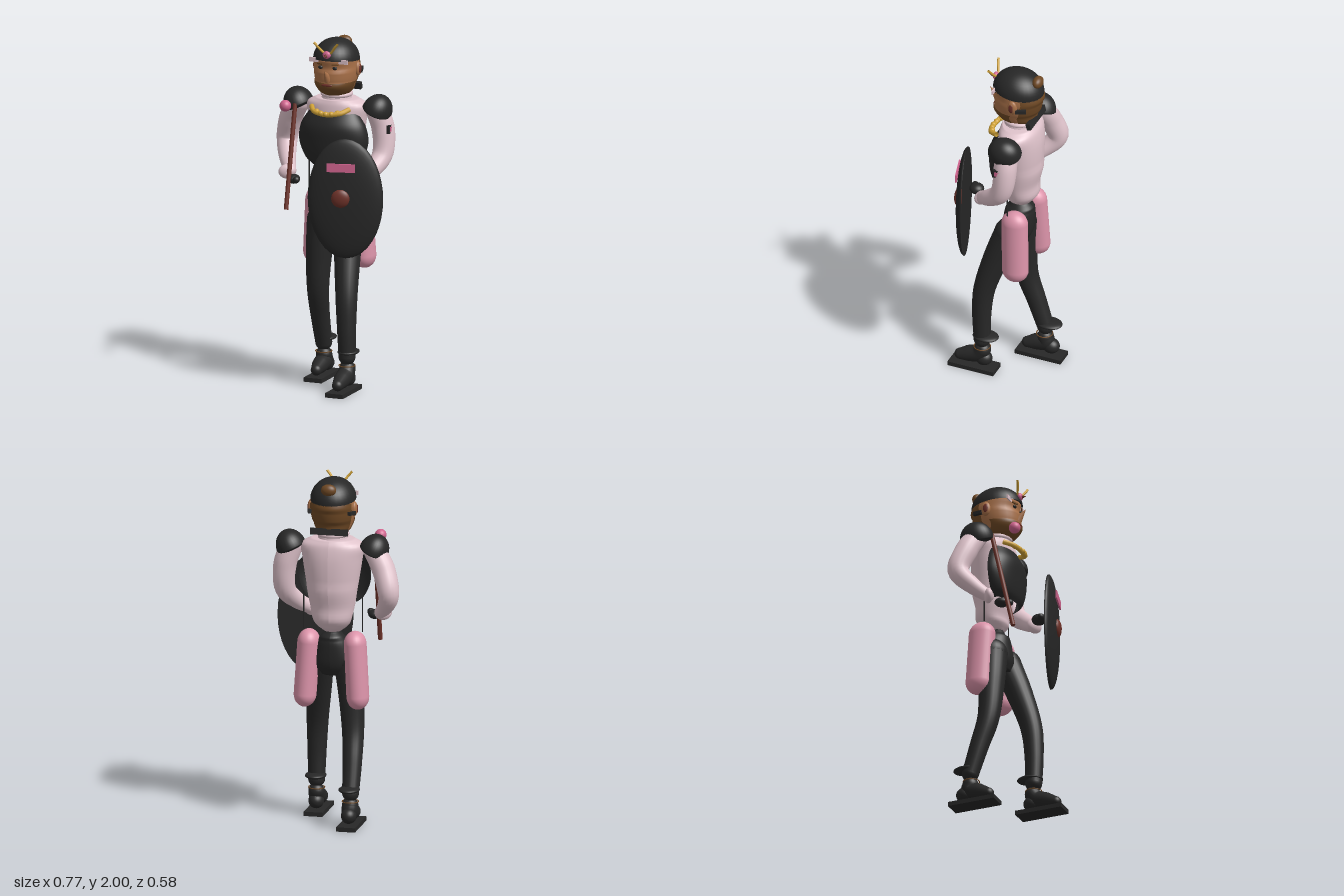
import * as THREE from 'three';

const mat = (name, color, side = THREE.DoubleSide) => {
  const m = new THREE.MeshStandardMaterial({ color, side });
  m.name = name;
  return m;
};
const CX = 0.015; // body centre line

// Skin through elliptical rows [y, rx, rz, cz]; angle 0 faces the front.
function loft(rows, a0 = -Math.PI, a1 = Math.PI, seg = 32) {
  const pos = [], idx = [], w = seg + 1;
  const full = [[rows[0][0], 0, 0, rows[0][3]], ...rows, [rows.at(-1)[0], 0, 0, rows.at(-1)[3]]];
  const use = a1 - a0 > 6 ? full : rows;
  use.forEach(([y, rx, rz, cz], i) => {
    for (let j = 0; j <= seg; j++) {
      const a = a0 + (a1 - a0) * j / seg;
      pos.push(CX + rx * Math.sin(a), y, cz + rz * Math.cos(a));
      if (i && j) {
        const d = i * w + j, c = d - 1, b = d - w, e = b - 1;
        idx.push(e, b, d, e, d, c);
      }
    }
  });
  const g = new THREE.BufferGeometry();
  g.setAttribute('position', new THREE.Float32BufferAttribute(pos, 3));
  g.setIndex(idx);
  g.computeVertexNormals();
  return g;
}

// Smooth rows between a few given ones.
function smooth(rows, n = 24) {
  const c = new THREE.CatmullRomCurve3(rows.map(r => new THREE.Vector3(r[0], r[1], r[2])));
  const d = new THREE.CatmullRomCurve3(rows.map(r => new THREE.Vector3(r[3], 0, 0)));
  return Array.from({ length: n + 1 }, (_, i) => [...c.getPoint(i / n).toArray(), d.getPoint(i / n).x]);
}

export function createModel() {
  const black = mat('charcoal', 0x272727), shirt = mat('pale pink cloth', 0xdfc3cb);
  const pink = mat('pouch pink', 0xdc94aa), rose = mat('rose', 0xd0648e);
  const wood = mat('red brown', 0x6e3229), gold = mat('gold', 0xd0a238);
  const skin = mat('skin', 0xa87048), hair = mat('hair brown', 0x6e4824);
  const root = new THREE.Group();
  const add = (name, geo, m, p = [0, 0, 0], r = [0, 0, 0], s = [1, 1, 1], parent = root) => {
    const o = new THREE.Mesh(geo, m);
    o.name = name;
    o.position.set(...p);
    o.rotation.set(...r);
    o.scale.set(...s);
    parent.add(o);
    return o;
  };
  const ball = new THREE.SphereGeometry(1, 28, 18);
  const dome = new THREE.SphereGeometry(1, 32, 12, 0, Math.PI * 2, 0, Math.PI / 2);
  const blob = (name, m, p, s, r) => add(name, ball, m, p, r, s);
  const box = (name, m, p, s, r) => add(name, new THREE.BoxGeometry(...s), m, p, r);
  const tube = (name, m, pts, r) => add(name, new THREE.TubeGeometry(
    new THREE.CatmullRomCurve3(pts.map(p => new THREE.Vector3(...p))), 20, r, 10), m);

  // Tapering limb through [x, y, z, radius], rounded at both ends.
  const limb = (name, m, pts) => {
    const n = 28, sides = 20;
    const curve = new THREE.CatmullRomCurve3(pts.map(p => new THREE.Vector3(p[0], p[1], p[2])));
    const g = new THREE.TubeGeometry(curve, n, 1, sides), a = g.attributes.position;
    const v = new THREE.Vector3();
    for (let i = 0; i <= n; i++) {
      const c = curve.getPointAt(i / n), t = i / n * (pts.length - 1);
      const k = Math.min(Math.floor(t), pts.length - 2);
      const r = THREE.MathUtils.lerp(pts[k][3], pts[k + 1][3], t - k);
      for (let j = 0; j <= sides; j++) {
        const q = i * (sides + 1) + j;
        v.fromBufferAttribute(a, q).sub(c).multiplyScalar(r).add(c);
        a.setXYZ(q, v.x, v.y, v.z);
      }
    }
    add(name, g, m);
    for (const p of [pts[0], pts.at(-1)]) blob(name + 'End', m, p.slice(0, 3), [p[3], p[3], p[3]]);
  };

  // Head, hair and beard
  const headRows = smooth([[1.675, 0.06, 0.07, -0.06], [1.7, 0.092, 0.11, -0.06], [1.76, 0.116, 0.132, -0.06],
    [1.82, 0.125, 0.138, -0.065], [1.89, 0.122, 0.136, -0.065]]);
  const grown = (lo, hi) => headRows.filter(r => r[0] > lo && r[0] < hi).map(([y, x, z, c]) => [y, x + 0.004, z + 0.004, c]);
  add('head', loft(headRows), skin);
  add('beard', loft(grown(1.67, 1.765), -1.6, 1.6), hair);
  add('backHair', loft(grown(1.67, 1.87), 1.95, 4.33), hair);
  blob('mouth', wood, [CX, 1.748, 0.074], [0.034, 0.01, 0.008]);
  add('nose', new THREE.ConeGeometry(0.03, 0.075, 12), skin, [CX, 1.812, 0.085], [0.75, 0, 0], [0.75, 1, 1]);
  for (const s of [-1, 1]) {
    blob('eye', black, [CX + s * 0.044, 1.848, 0.062], [0.014, 0.01, 0.008]);
    box('eyebrow', hair, [CX + s * 0.046, 1.868, 0.065], [0.04, 0.008, 0.008], [0, s * 0.35, 0]);
    blob('ear', skin, [CX + s * 0.125, 1.825, -0.08], [0.018, 0.042, 0.028]);
    blob('innerEar', wood, [CX + s * 0.139, 1.825, -0.077], [0.006, 0.026, 0.015]);
    box('sideStrap', black, [CX + s * 0.122, 1.81, -0.13], [0.02, 0.02, 0.06], [0.1, s * 0.3, 0]);
    tube('feeler', gold, [[CX + s * 0.015, 1.93, 0.066], [CX + s * 0.035, 1.95, 0.075],
      [CX + s * 0.053, 1.973, 0.085], [CX + s * 0.072, 1.995, 0.09]], 0.007);
  }

  // Helmet and its trimmings
  add('helmet', dome, black, [CX, 1.875, -0.065], [-0.1, 0, 0], [0.129, 0.121, 0.148]);
  blob('hairKnot', hair, [CX, 1.95, -0.183], [0.044, 0.034, 0.03]);
  box('browBand', shirt, [CX, 1.885, 0.047], [0.235, 0.025, 0.008]);
  blob('helmetGem', rose, [CX, 1.925, 0.075], [0.024, 0.022, 0.016]);
  add('gemPoint', new THREE.ConeGeometry(0.012, 0.03, 8), wood, [CX, 1.922, 0.098], [Math.PI / 2, 0, 0]);
  box('neckBar', black, [CX, 1.705, -0.17], [0.215, 0.038, 0.025], [0.25, 0, 0]);

  // Shirt, neck and breastplate
  add('shirt', loft(smooth([[1.115, 0.05, 0.05, -0.08], [1.16, 0.1, 0.083, -0.085], [1.26, 0.127, 0.1, -0.085],
    [1.4, 0.15, 0.118, -0.085], [1.54, 0.172, 0.122, -0.083], [1.615, 0.18, 0.112, -0.08],
    [1.652, 0.12, 0.095, -0.075]], 32)), shirt);
  add('collar', new THREE.CylinderGeometry(0.075, 0.09, 0.08, 28), shirt, [CX, 1.67, -0.07]);
  add('collarRoll', new THREE.TorusGeometry(0.078, 0.014, 10, 32), shirt, [CX, 1.675, -0.07], [Math.PI / 2, 0, 0]);
  add('breastplate', loft(smooth([[1.27, 0.125, 0.08, -0.03], [1.31, 0.17, 0.1, -0.03], [1.41, 0.208, 0.113, -0.03],
    [1.5, 0.195, 0.113, -0.03], [1.58, 0.145, 0.075, -0.03]]), -1.6, 1.6), black);
  tube('necklace', gold, [[-0.1, 1.608, 0.02], [-0.065, 1.592, 0.07], [CX, 1.582, 0.088],
    [0.095, 1.592, 0.07], [0.13, 1.608, 0.02]], 0.014);
  for (let i = -2; i <= 2; i++) blob('necklaceBead', gold, [CX + i * 0.032, 1.585 + i * i * 0.002, 0.09 - i * i * 0.005], [0.017, 0.015, 0.016]);

  // Shoulder pads and hanging cords
  for (const s of [-1, 1]) {
    add('shoulderPad', dome, black, [CX + s * 0.238, 1.588, -0.085], [0, 0, -s * 0.42], [0.084, 0.1, 0.098]);
    blob('shoulderPadBase', black, [CX + s * 0.238, 1.588, -0.085], [0.083, 0.022, 0.097], [0, 0, -s * 0.42]);
    box('cord', black, [CX + s * 0.17, 1.22, -0.07], [0.006, 0.22, 0.006]);
  }

  // Arms and hands
  limb('rightArm', shirt, [[-0.225, 1.6, -0.09, 0.062], [-0.29, 1.49, -0.125, 0.066], [-0.325, 1.36, -0.155, 0.062],
    [-0.29, 1.27, -0.08, 0.05], [-0.245, 1.215, -0.01, 0.035]]);
  limb('leftArm', shirt, [[0.25, 1.6, -0.09, 0.066], [0.285, 1.49, -0.1, 0.066], [0.29, 1.34, -0.075, 0.06],
    [0.245, 1.25, 0.02, 0.05], [0.19, 1.2, 0.08, 0.038]]);
  blob('rightCuff', shirt, [-0.258, 1.21, 0], [0.05, 0.042, 0.025], [0, 0.5, 0]);
  blob('leftCuff', shirt, [0.18, 1.19, 0.09], [0.046, 0.042, 0.03], [0, -0.6, 0]);
  blob('rightHand', black, [-0.195, 1.185, 0.055], [0.036, 0.027, 0.042], [0, 0.4, 0]);
  blob('rightThumb', black, [-0.165, 1.19, 0.09], [0.02, 0.02, 0.02]);
  blob('leftHand', black, [0.11, 1.19, 0.15], [0.04, 0.032, 0.042]);
  blob('leftThumb', black, [0.085, 1.19, 0.175], [0.028, 0.02, 0.02]);
  box('armPatch', black, [0.336, 1.495, -0.08], [0.015, 0.048, 0.066]);
  box('armPatchInlay', rose, [0.344, 1.495, -0.08], [0.005, 0.026, 0.042]);

  // Staff with its floating orb
  add('staff', new THREE.CylinderGeometry(0.013, 0.013, 0.6, 14), wood, [-0.21, 1.315, 0.065], [-0.22, 0, 0]);
  blob('orb', rose, [-0.21, 1.625, 0.14], [0.033, 0.033, 0.033]);

  // Shield: shallow oval dome with boss and plaque
  const shield = new THREE.Group();
  shield.name = 'shield';
  shield.position.set(0.177, 1.135, 0.187);
  shield.rotation.y = 0.27;
  root.add(shield);
  const onShield = (name, g, m, p, r, s) => add(name, g, m, p, r, s, shield);
  onShield('shieldFace', dome, black, [0, 0, 0], [Math.PI / 2, 0, 0], [0.214, 0.05, 0.345]);
  onShield('shieldBack', new THREE.CircleGeometry(1, 40), black, [0, 0, -0.003], [0, Math.PI, 0], [0.214, 0.345, 1]);
  onShield('shieldBoss', ball, wood, [-0.022, 0.01, 0.045], [0, 0, 0], [0.053, 0.053, 0.025]);
  onShield('shieldPlaque', new THREE.BoxGeometry(0.162, 0.048, 0.009), rose, [-0.02, 0.187, 0.05]);

  // Hips and side pouches
  add('hips', loft(smooth([[0.86, 0.07, 0.065, -0.055], [0.92, 0.13, 0.088, -0.06], [1.0, 0.11, 0.088, -0.07],
    [1.07, 0.08, 0.08, -0.075], [1.115, 0.035, 0.045, -0.075]])), black);
  for (const s of [-1, 1]) add('pouch', new THREE.CapsuleGeometry(0.075, 0.3, 10, 28), pink,
    [CX + s * 0.143, 0.895, -0.105], [0.04, 0, s * 0.06], [0.85, 1, 1.03]);

  // Legs and feet: left foot forward, right foot back
  limb('leftLeg', black, [[0.1, 0.94, -0.045, 0.085], [0.12, 0.76, 0.025, 0.075], [0.142, 0.54, 0.09, 0.064],
    [0.148, 0.38, 0.103, 0.055], [0.15, 0.2, 0.1, 0.048]]);
  limb('rightLeg', black, [[-0.07, 0.94, -0.055, 0.085], [-0.088, 0.74, -0.055, 0.075], [-0.1, 0.53, -0.07, 0.064],
    [-0.108, 0.37, -0.12, 0.055], [-0.11, 0.2, -0.175, 0.048]]);
  for (const [side, x, z] of [['left', 0.15, 0.15], ['right', -0.108, -0.15]]) {
    const ankle = side === 'left' ? z - 0.05 : z - 0.02;
    box(side + 'Sole', black, [x, 0.013, z], [0.108, 0.025, 0.28]);
    limb(side + 'Shoe', black, [[x, 0.13, ankle - 0.005, 0.046], [x, 0.1, z - 0.03, 0.05],
      [x, 0.08, z + 0.03, 0.046], [x, 0.062, z + 0.085, 0.032]]);
    blob(side + 'Heel', black, [x, 0.075, z - 0.06], [0.044, 0.045, 0.05]);
    blob(side + 'AnkleFlap', black, [x, 0.225, side === 'left' ? 0.078 : -0.2], [0.06, 0.018, 0.076]);
    add(side + 'AnkleStrap', new THREE.TorusGeometry(0.046, 0.003, 6, 28), hair, [x, 0.15, ankle], [Math.PI / 2, 0, 0]);
  }
  return root;
}
